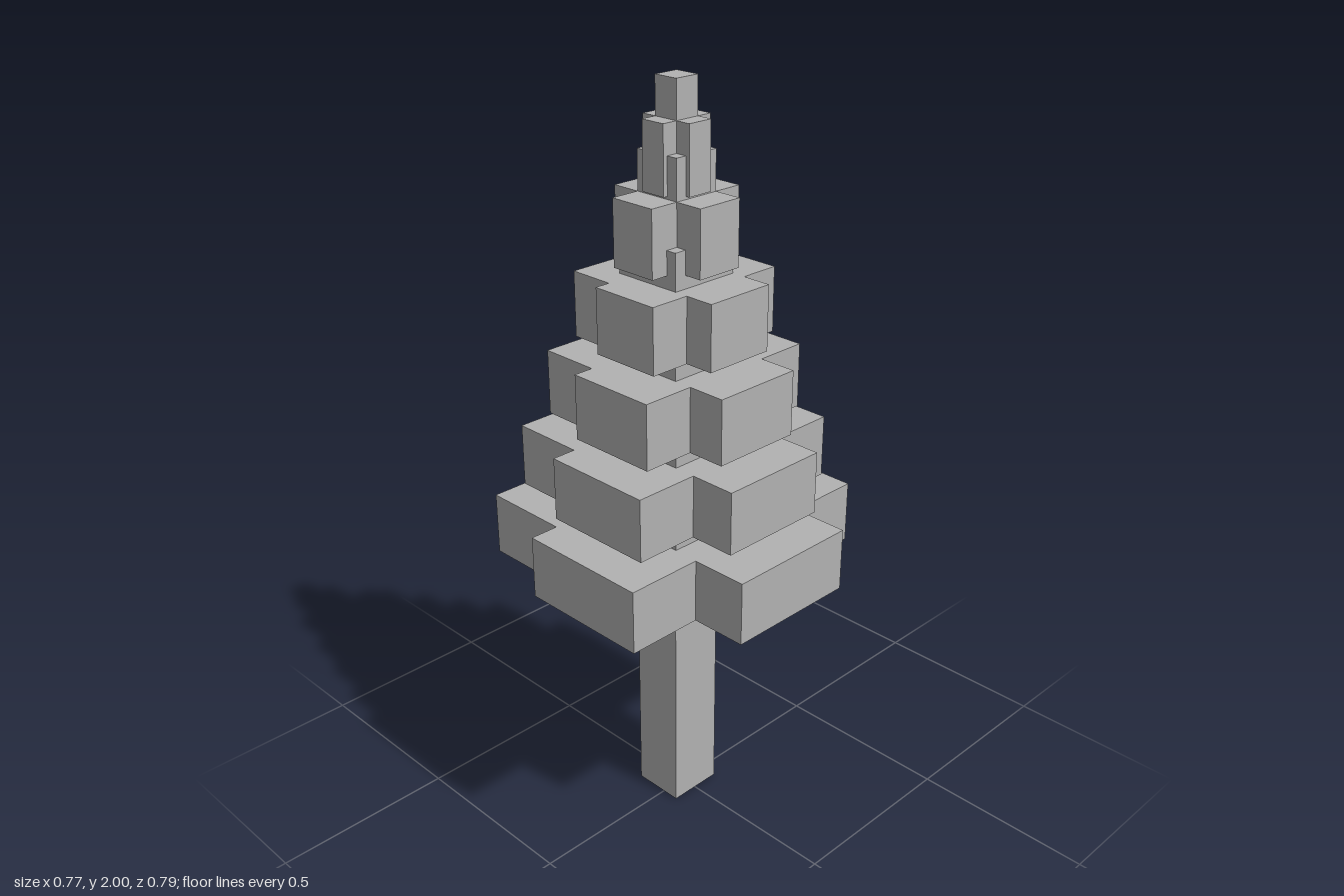
import * as THREE from 'three';

// Stepped foliage tiers: height range, x of the four vertical steps,
// and the half depth of the left lobe, middle block and right lobe
const TIERS = [
  { y: [0.73, 0.9], x: [-0.385, -0.139, 0.23, 0.384], z: [0.315, 0.395, 0.186] },
  { y: [0.937, 1.105], x: [-0.325, -0.12, 0.189, 0.315], z: [0.263, 0.33, 0.154] },
  { y: [1.143, 1.315], x: [-0.268, -0.101, 0.149, 0.253], z: [0.213, 0.268, 0.125] },
  { y: [1.355, 1.525], x: [-0.212, -0.085, 0.11, 0.19], z: [0.165, 0.207, 0.098] },
  { y: [1.558, 1.728], x: [-0.168, -0.088, 0.044, 0.121], z: [0.065, 0.145, 0.065] },
  { y: [1.735, 1.905], x: [-0.099, -0.057, 0.013, 0.055], z: [0.035, 0.077, 0.035] },
];

// Narrow cores joining one tier to the next: x range, y range, half depth
const CORES = [
  [-0.206, 0.16, 0.9, 0.937, 0.184],
  [-0.175, 0.13, 1.105, 1.143, 0.154],
  [-0.148, 0.1, 1.315, 1.355, 0.125],
  [-0.12, 0.073, 1.525, 1.62, 0.098],
  [-0.088, 0.044, 1.728, 1.83, 0.065],
];

const Z_SHIFT = -0.002;

export function createModel() {
  const group = new THREE.Group();
  const grey = new THREE.MeshStandardMaterial({ color: 0xb2b2b2 });
  grey.name = 'grey';

  const add = (name, geometry, x, y, z) => {
    const mesh = new THREE.Mesh(geometry, grey);
    mesh.name = name;
    mesh.position.set(x, y, z);
    group.add(mesh);
  };
  const addBlock = (name, x0, x1, y0, y1, halfZ) =>
    add(name, new THREE.BoxGeometry(x1 - x0, y1 - y0, halfZ * 2),
      (x0 + x1) / 2, (y0 + y1) / 2, Z_SHIFT);

  // Trunk
  addBlock('trunk', -0.095, 0.049, 0, 0.73, 0.077);

  // Foliage tiers, each one stepped outline extruded upward
  TIERS.forEach(({ y, x: [a, b, c, d], z: [left, mid, right] }, i) => {
    const half = [[a, left], [b, left], [b, mid], [c, mid], [c, right], [d, right]];
    const mirrored = half.map(([x, z]) => [x, -z]).reverse();
    const shape = new THREE.Shape([...half, ...mirrored].map(([x, z]) => new THREE.Vector2(x, z)));
    const geometry = new THREE.ExtrudeGeometry(shape, { depth: y[1] - y[0], bevelEnabled: false });
    geometry.rotateX(-Math.PI / 2);
    add(`foliageTier${i + 1}`, geometry, 0, y[0], Z_SHIFT);
  });

  // Cores between tiers
  CORES.forEach((core, i) => addBlock(`foliageCore${i + 1}`, ...core));

  // Tip
  addBlock('tip', -0.057, 0.013, 1.905, 2, 0.035);

  return group;
}
